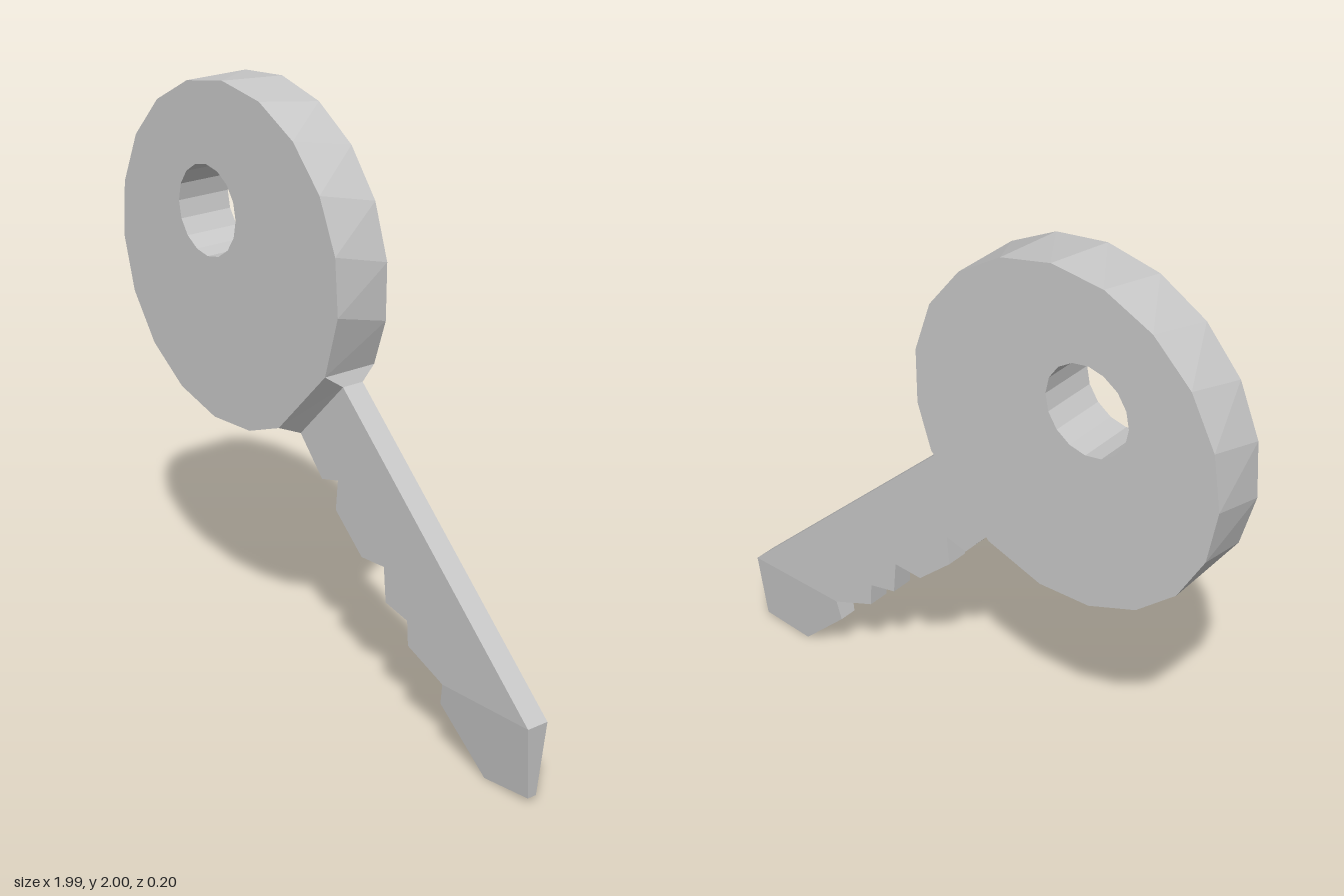
import * as THREE from 'three';

const steel = new THREE.MeshStandardMaterial({ color: 0xc8c8c8 });
steel.name = 'steel grey';

// Move every vertex by a rule, then give each face its own flat normal.
function reshape(geometry, rule) {
  const g = geometry.index ? geometry.toNonIndexed() : geometry;
  const p = g.attributes.position;
  const v = new THREE.Vector3();
  for (let i = 0; i < p.count; i++) {
    v.fromBufferAttribute(p, i);
    rule(v);
    p.setXYZ(i, v.x, v.y, v.z);
  }
  g.computeVertexNormals();
  return g;
}

function part(name, geometry) {
  const mesh = new THREE.Mesh(geometry, steel);
  mesh.name = name;
  return mesh;
}

function slab(shape, depth) {
  return new THREE.ExtrudeGeometry(shape, { depth, bevelEnabled: false }).translate(0, 0, -depth / 2);
}

const toPoints = (list) => list.map(([x, y]) => new THREE.Vector2(x, y));

export function createModel() {
  const key = new THREE.Group();
  key.name = 'key';

  // Round bow: 17 facets plus a flat side where the blade joins
  const cx = -0.415, cy = 1.42, r = 0.58, facets = 17;
  const start = THREE.MathUtils.degToRad(-27.5);
  const sweep = THREE.MathUtils.degToRad(326);
  const rim = [];
  for (let i = 0; i <= facets; i++) {
    const a = start + (sweep * i) / facets;
    rim.push(new THREE.Vector2(cx + r * Math.cos(a), cy + r * Math.sin(a)));
  }
  const chordTop = rim[0], chordLow = rim[facets];
  const bowShape = new THREE.Shape(rim);

  // Hole for the key ring
  const hole = [];
  for (let i = 0; i < 16; i++) {
    const a = (i / 16) * Math.PI * 2;
    hole.push(new THREE.Vector2(-0.51 + 0.155 * Math.cos(a), 1.555 + 0.155 * Math.sin(a)));
  }
  bowShape.holes.push(new THREE.Path(hole));

  // The rim facets lean: front and back outlines are turned slightly apart
  key.add(part('bow', reshape(slab(bowShape, 0.2), (v) => {
    const dx = v.x - cx, dy = v.y - cy;
    const onRim = Math.hypot(dx, dy) > 0.5;
    const atBlade = [chordTop, chordLow].some((c) => Math.hypot(v.x - c.x, v.y - c.y) < 0.01);
    if (!onRim || atBlade) return;
    const t = Math.sign(v.z) * 0.045;
    v.x = cx + dx * Math.cos(t) - dy * Math.sin(t);
    v.y = cy + dx * Math.sin(t) + dy * Math.cos(t);
  })));

  // Sloped neck from the thick bow to the thin blade
  const rootTop = new THREE.Vector2(0.115, 1.11), rootLow = new THREE.Vector2(-0.1, 0.89);
  key.add(part('neck', reshape(new THREE.BoxGeometry(1, 1, 1), (v) => {
    const outer = v.x > 0;
    const c = v.y > 0 ? (outer ? rootTop : chordTop) : (outer ? rootLow : chordLow);
    v.set(c.x, c.y, Math.sign(v.z) * (outer ? 0.04 : 0.1));
  })));

  // Toothed blade, thinning towards the tip
  const outline = toPoints([
    [0.115, 1.11], [0.992, 0.27], [0.977, 0.02], [0.78, 0.003], [0.59, 0.19],
    [0.605, 0.265], [0.44, 0.335], [0.435, 0.42], [0.33, 0.445], [0.32, 0.565],
    [0.21, 0.56], [0.08, 0.68], [0.09, 0.785], [0.01, 0.765], [-0.1, 0.89],
  ]);
  key.add(part('blade', reshape(slab(new THREE.Shape(outline), 0.08), (v) => {
    const half = THREE.MathUtils.mapLinear(Math.min(v.y, 0.265), 0, 0.265, 0.015, 0.04);
    v.z = Math.sign(v.z) * half;
  })));

  return key;
}
